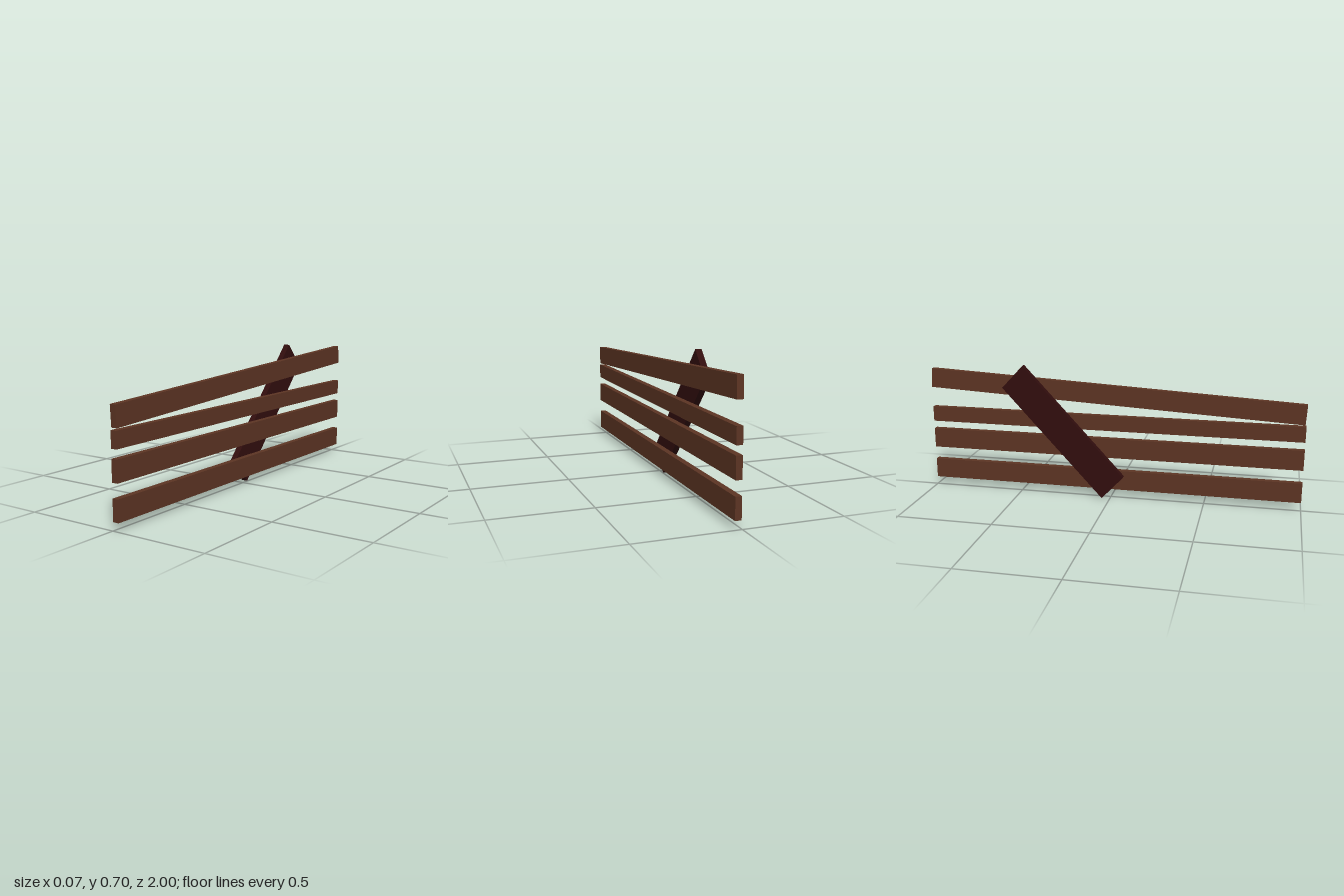
import * as THREE from 'three';

export function createModel() {
  const model = new THREE.Group();
  model.name = 'plankFence';

  const plankWood = new THREE.MeshStandardMaterial({ color: 0x5c3423 });
  plankWood.name = 'brown plank wood';
  const braceWood = new THREE.MeshStandardMaterial({ color: 0x310d0d });
  braceWood.name = 'dark brace wood';

  // Long planks along z: name, centre height, height, length, tilt
  const planks = [
    ['bottomPlank', 0.094, 0.106, 2, 0],
    ['lowerMiddlePlank', 0.27, 0.106, 2, 0],
    ['upperMiddlePlank', 0.407, 0.081, 2, 0],
    ['slantedTopPlank', 0.559, 0.103, 1.997, 0.0506],
  ];
  for (const [name, y, height, length, tilt] of planks) {
    const plank = new THREE.Mesh(new THREE.BoxGeometry(0.031, height, length), plankWood);
    plank.name = name;
    plank.position.set(0.0195, y, 0);
    plank.rotation.x = tilt;
    model.add(plank);
  }

  // Slanted brace behind the planks, its outline drawn in (-z, y)
  const outline = new THREE.Shape([
    new THREE.Vector2(0.044, 0),
    new THREE.Vector2(0.583, 0.582),
    new THREE.Vector2(0.468, 0.705),
    new THREE.Vector2(-0.071, 0.123),
  ]);
  const braceGeometry = new THREE.ExtrudeGeometry(outline, { depth: 0.032, bevelEnabled: false });
  braceGeometry.rotateY(Math.PI / 2);
  const brace = new THREE.Mesh(braceGeometry, braceWood);
  brace.name = 'diagonalBrace';
  brace.position.x = -0.035;
  model.add(brace);

  return model;
}
